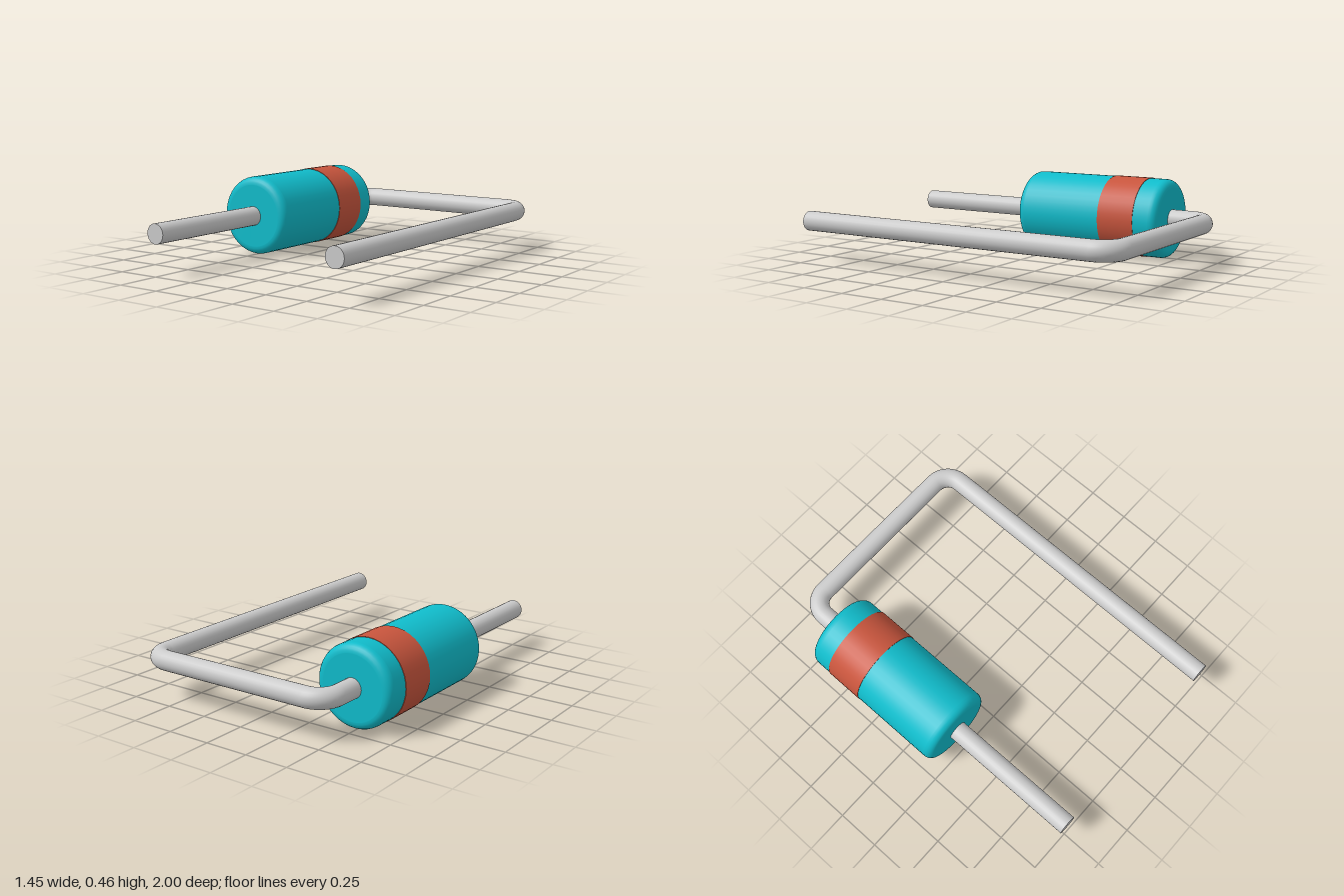
import * as THREE from 'three';

const AXIS_Y = 0.231;
const LEFT_X = 0.665, RIGHT_X = -0.495;
const WIRE_R = 0.056, BEND_R = 0.11;
const FRONT_Z = 1, BACK_Z = -0.944;

export function createModel() {
  const model = new THREE.Group();
  model.name = 'diode';
  const metal = new THREE.MeshStandardMaterial({ color: 0xcccccc });
  const shell = new THREE.MeshStandardMaterial({ color: 0x10bccb });
  const red = new THREE.MeshStandardMaterial({ color: 0xc8553d });

  const add = (name, geometry, material, x, z, parent = model) => {
    const mesh = new THREE.Mesh(geometry, material);
    mesh.name = name;
    mesh.position.set(x, AXIS_Y, z);
    parent.add(mesh);
    return mesh;
  };

  // Cylinder lying along z between two depths
  const rod = (r, z0, z1, sides, open = false) =>
    new THREE.CylinderGeometry(r, r, z1 - z0, sides, 1, open).rotateX(Math.PI / 2);

  // Capsule body: lathed profile with flat ends and rounded rims
  const z0 = -0.715, z1 = 0.197, R = 0.228, fillet = 0.045;
  const half = (z1 - z0) / 2;
  const end = [];
  for (let i = 0; i <= 6; i++) {
    const a = (i / 6) * Math.PI / 2;
    end.push([R - fillet + fillet * Math.sin(a), half - fillet + fillet * Math.cos(a)]);
  }
  // Extra points beside each fillet keep the flats evenly shaded
  const rim = [[0, half], [R - fillet - 0.002, half], ...end, [R, half - fillet - 0.002]];
  const profile = [
    ...rim.map(([r, y]) => new THREE.Vector2(r, -y)),
    ...rim.slice().reverse().map(([r, y]) => new THREE.Vector2(r, y)),
  ];
  add('body', new THREE.LatheGeometry(profile, 40).rotateX(Math.PI / 2), shell, RIGHT_X, (z0 + z1) / 2);

  // Coloured polarity band
  add('polarityBand', rod(0.231, -0.575, -0.35, 40), red, RIGHT_X, (-0.575 - 0.35) / 2);

  // Bent wire: two long legs, a crossbar and two quarter bends
  const wire = new THREE.Group();
  wire.name = 'leadWire';
  model.add(wire);
  const bendZ = BACK_Z + BEND_R;
  for (const [side, x, inward, turn] of [
    ['left', LEFT_X, -1, 0],
    ['right', RIGHT_X, 1, Math.PI / 2],
  ]) {
    add(side + 'Leg', rod(WIRE_R, bendZ, FRONT_Z, 24), metal, x, (bendZ + FRONT_Z) / 2, wire);
    const bend = new THREE.TorusGeometry(BEND_R, WIRE_R, 24, 12, Math.PI / 2)
      .rotateX(-Math.PI / 2).rotateY(turn);
    add(side + 'Bend', bend, metal, x + inward * BEND_R, bendZ, wire);
  }
  const barLength = LEFT_X - RIGHT_X - 2 * BEND_R;
  const bar = new THREE.CylinderGeometry(WIRE_R, WIRE_R, barLength, 24, 1, true).rotateZ(Math.PI / 2);
  add('crossbar', bar, metal, (LEFT_X + RIGHT_X) / 2, BACK_Z, wire);

  return model;
}
